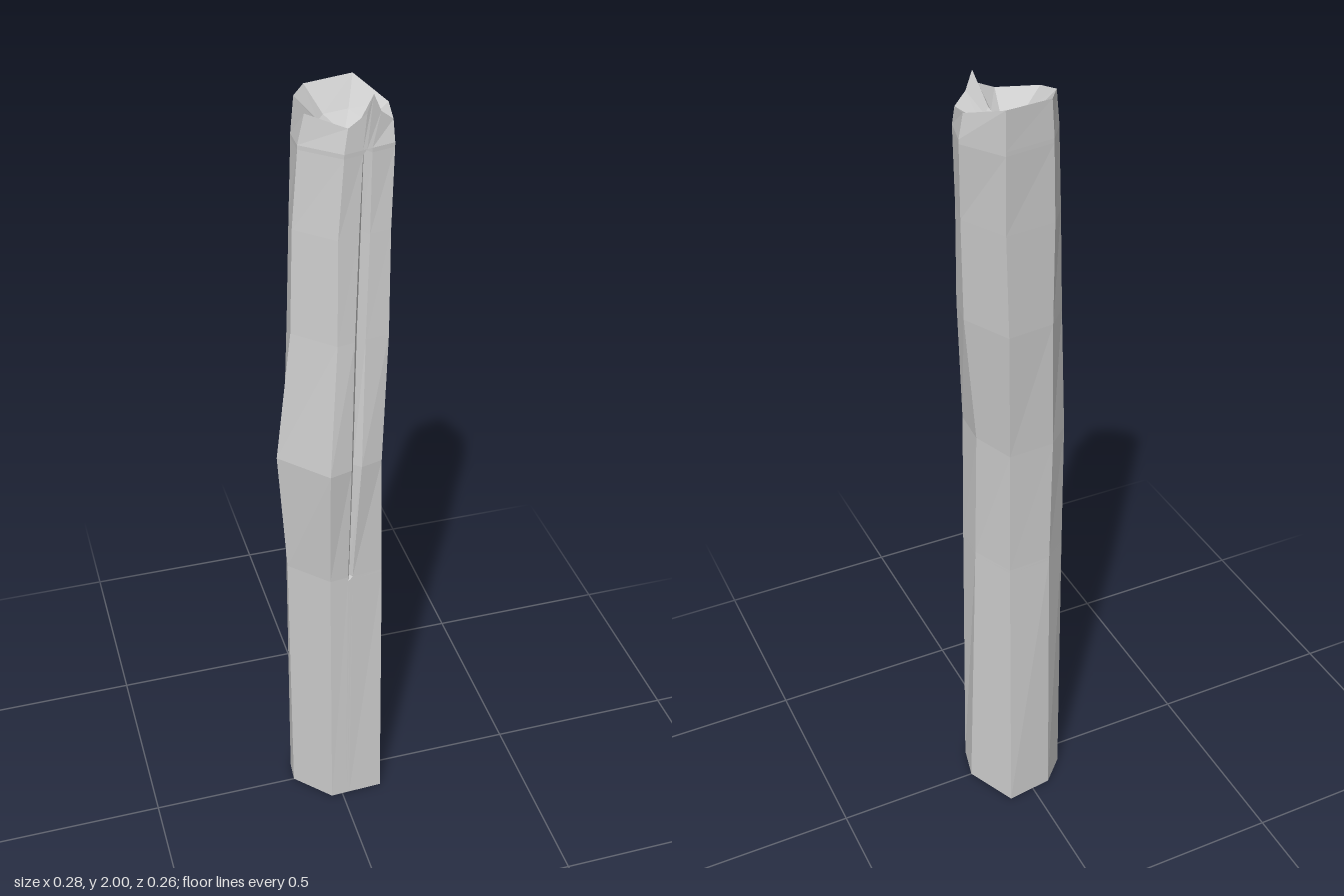
import * as THREE from 'three';

// Height, then x,z of the seven corners: front left, front right, right,
// back right, back left, left back, left front
const SECTIONS = [
  [0, -0.03, 0.09, 0.11, 0.085, 0.13, 0, 0.07, -0.13, -0.05, -0.115, -0.11, -0.055, -0.115, 0],
  [0.78, -0.037, 0.1, 0.1, 0.085, 0.105, 0, 0.06, -0.105, -0.05, -0.1, -0.11, -0.05, -0.122, 0.01],
  [1.12, -0.045, 0.132, 0.09, 0.095, 0.097, 0, 0.06, -0.107, -0.055, -0.1, -0.11, -0.05, -0.145, 0.02],
  [1.45, -0.02, 0.1, 0.105, 0.08, 0.125, -0.005, 0.07, -0.125, -0.045, -0.11, -0.095, -0.055, -0.105, 0.015],
  [1.7, -0.015, 0.085, 0.11, 0.062, 0.132, -0.015, 0.078, -0.128, -0.045, -0.112, -0.085, -0.06, -0.095, 0.005],
  [1.88, 0, 0.077, 0.12, 0.045, 0.14, -0.033, 0.08, -0.133, -0.04, -0.112, -0.078, -0.06, -0.08, 0.003],
];

// Crack in the front face: height, left lip x, floor x, right lip x, depth
const CRACK = [
  [0, 0.01, 0.015, 0.02, 0],
  [0.77, 0.01, 0.015, 0.022, 0],
  [0.78, 0.01, 0.015, 0.022, 0.01],
  [1.12, 0.01, 0.02, 0.037, 0.02],
  [1.45, 0.022, 0.034, 0.048, 0.025],
  [1.7, 0.034, 0.046, 0.06, 0.025],
  [1.88, 0.044, 0.054, 0.066, 0.025],
  [1.89, 0.044, 0.054, 0.066, 0],
];

// Splintered rim, with a spike over the crack
const RIM = [
  [0.01, 1.943, 0.07], [0.055, 1.965, 0.056], [0.072, 2, 0.045], [0.09, 1.96, 0.04],
  [0.12, 1.935, 0.03], [0.13, 1.946, -0.035], [0.08, 1.978, -0.132],
  [-0.035, 1.975, -0.11], [-0.07, 1.972, -0.06], [-0.065, 1.958, 0.005],
];

// Corner positions at any height
function cornersAt(y) {
  let i = 0;
  while (i < SECTIONS.length - 2 && SECTIONS[i + 1][0] < y) i++;
  const a = SECTIONS[i], b = SECTIONS[i + 1];
  const t = Math.min(1, (y - a[0]) / (b[0] - a[0]));
  const mix = (k) => a[k] + (b[k] - a[k]) * t;
  return Array.from({ length: 7 }, (_, k) => [mix(1 + 2 * k), y, mix(2 + 2 * k)]);
}

// One outline, with the crack let in between the two front corners
function outline([y, left, floor, right, depth]) {
  const [a, b, ...rest] = cornersAt(y);
  const onFront = (x, d) => [x, y, a[2] + (b[2] - a[2]) * (x - a[0]) / (b[0] - a[0]) - d];
  return [a, onFront(left, 0), onFront(floor, depth), onFront(right, 0), b, ...rest];
}

function postGeometry() {
  const heart = [0.03, 1.89, -0.025];
  const hollow = RIM.map((p) => p.map((v, k) => v + (heart[k] - v) * (k === 1 ? 0.65 : 0.48)));
  const rings = [...CRACK.map(outline), RIM, hollow];
  const positions = [];
  const tri = (a, b, c) => positions.push(...a, ...b, ...c);
  const n = RIM.length;
  for (let j = 0; j < n; j++) {
    const k = (j + 1) % n;
    for (let i = 0; i < rings.length - 1; i++) {
      const lo = rings[i], hi = rings[i + 1];
      tri(lo[j], lo[k], hi[k]);
      tri(lo[j], hi[k], hi[j]);
    }
    tri(hollow[j], hollow[k], heart); // hollow end
    tri([0, 0, 0], rings[0][k], rings[0][j]); // flat base
  }
  const geometry = new THREE.BufferGeometry();
  geometry.setAttribute('position', new THREE.Float32BufferAttribute(positions, 3));
  geometry.computeVertexNormals(); // unshared corners give flat faces
  return geometry;
}

export function createModel() {
  const group = new THREE.Group();
  group.name = 'weatheredPost';
  const wood = new THREE.MeshStandardMaterial({ color: 0xcccccc });
  wood.name = 'pale grey wood';
  const post = new THREE.Mesh(postGeometry(), wood);
  post.name = 'post';
  group.add(post);
  return group;
}
